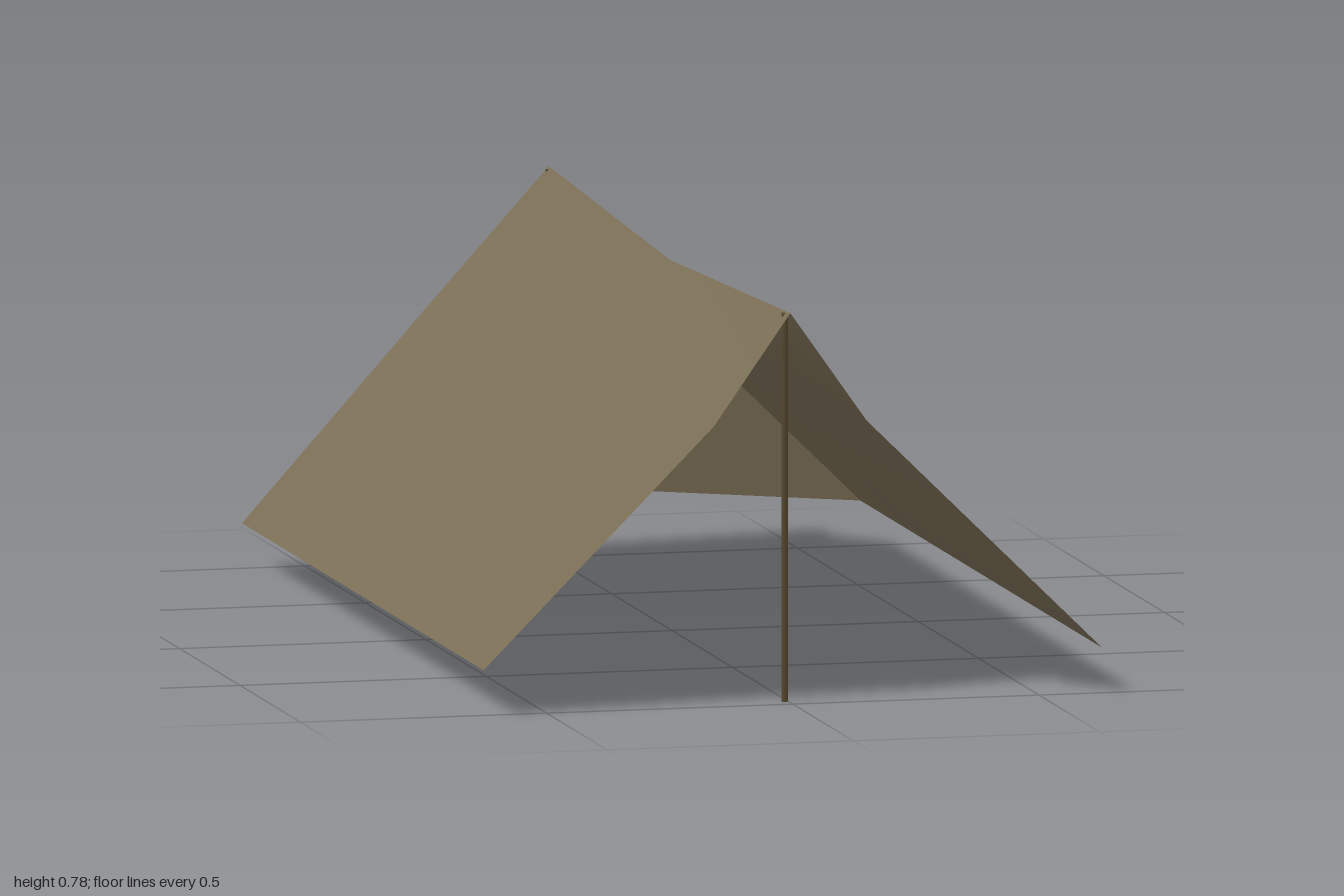
import * as THREE from 'three';

const canvas = new THREE.MeshStandardMaterial({ color: 0x7a6e55, side: THREE.DoubleSide });
canvas.name = 'olive canvas';
const wood = new THREE.MeshStandardMaterial({ color: 0x54472f });
wood.name = 'dark wood';

const RIDGE_X = -0.005;
const HEM_X = 0.628, HEM_Y = 0.09;

// Sagging cross-section of one roof side: ridge, fold, hem
const section = (side, z, ridgeY, foldX, foldY) => [
  [RIDGE_X, ridgeY, z],
  [side * foldX, foldY, z],
  [side * HEM_X, HEM_Y, z],
];

// Sheet of cloth stretched between cross-sections running front to back
function roofPanel(name, sections, flip) {
  const index = [];
  const n = sections[0].length;
  for (let i = 0; i < sections.length - 1; i++) {
    for (let j = 0; j < n - 1; j++) {
      const a = i * n + j, b = a + 1, c = a + n, d = c + 1;
      if (flip) index.push(a, c, b, b, c, d);
      else index.push(a, b, c, b, d, c);
    }
  }
  const g = new THREE.BufferGeometry();
  g.setAttribute('position', new THREE.Float32BufferAttribute(sections.flat(2), 3));
  g.setIndex(index);
  g.computeVertexNormals();
  const mesh = new THREE.Mesh(g, canvas);
  mesh.name = name;
  return mesh;
}

// Flat door flap closing half of the back end, facing -z
function doorFlap(name, edge, slitX) {
  const pts = [...edge.map(([x, y]) => new THREE.Vector2(x, y)), new THREE.Vector2(slitX, 0.14)];
  const mesh = new THREE.Mesh(new THREE.ShapeGeometry(new THREE.Shape(pts)), canvas);
  // Turn the face outwards, towards the back
  const idx = mesh.geometry.index;
  for (let i = 0; i < idx.count; i += 3) {
    const t = idx.getX(i + 1);
    idx.setX(i + 1, idx.getX(i + 2));
    idx.setX(i + 2, t);
  }
  mesh.geometry.computeVertexNormals();
  mesh.position.z = -1;
  mesh.name = name;
  return mesh;
}

function pole(name, z) {
  const h = 0.775;
  const mesh = new THREE.Mesh(new THREE.CylinderGeometry(0.007, 0.007, h, 6), wood);
  mesh.position.set(-0.007, h / 2, z);
  mesh.name = name;
  return mesh;
}

export function createModel() {
  const tent = new THREE.Group();
  tent.name = 'tent';

  // Roof cloth; the back right edge is pulled straight, the others sag
  const left = [
    section(1, 1, 0.78, 0.15, 0.56),
    section(1, 0, 0.74, 0.285, 0.38),
    section(1, -1, 0.78, 0.15, 0.56),
  ];
  const right = [
    section(-1, 1, 0.78, 0.16, 0.56),
    section(-1, 0, 0.74, 0.29, 0.38),
    section(-1, -1, 0.78, 0.255, 0.505),
  ];
  tent.add(roofPanel('leftRoof', left, true), roofPanel('rightRoof', right, false));

  // Back door flaps with a narrow slit between them
  tent.add(doorFlap('leftBackFlap', left[2], 0.003), doorFlap('rightBackFlap', right[2], -0.03));

  // Ridge poles
  tent.add(pole('frontPole', 0.962), pole('backPole', -0.992));
  return tent;
}
